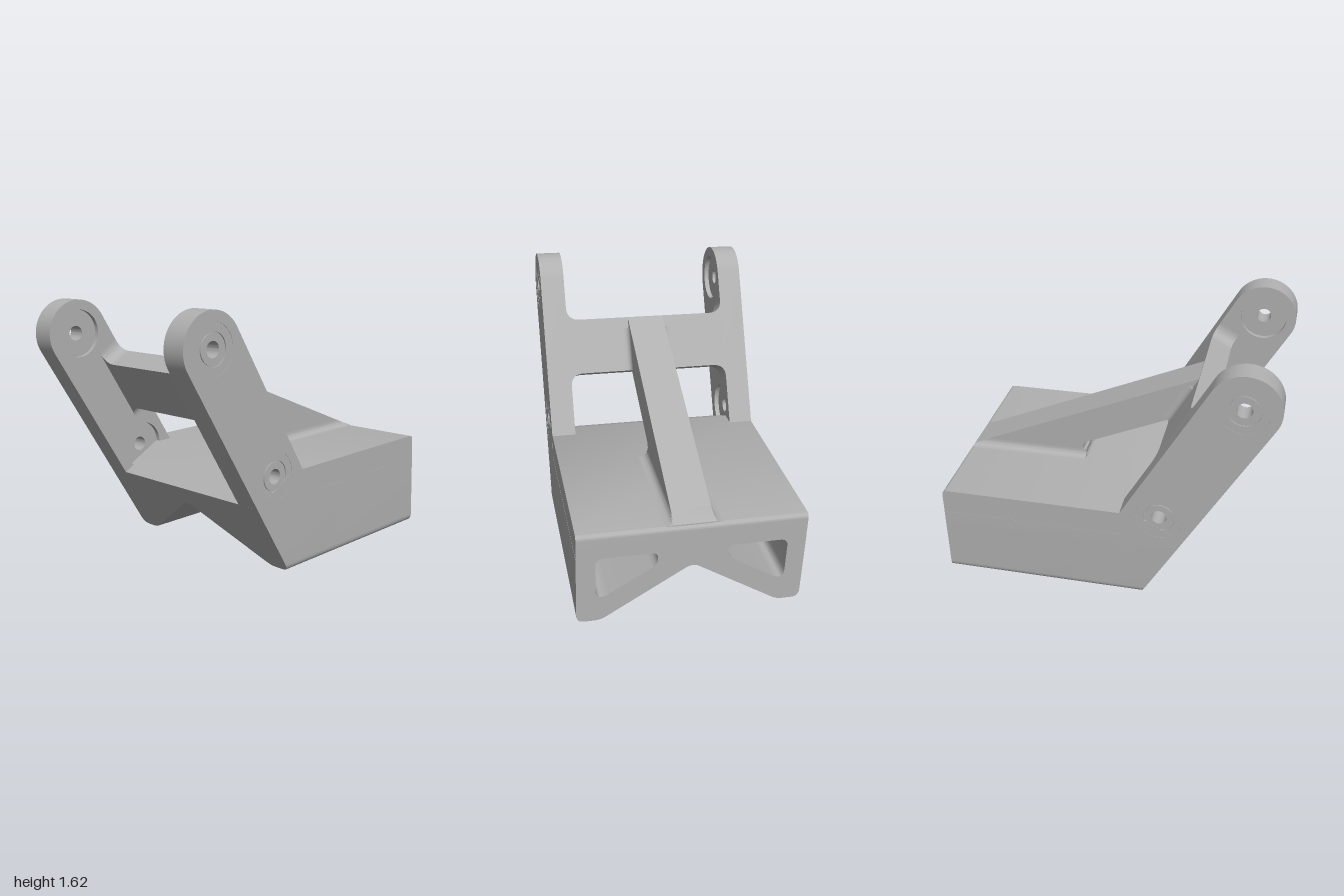
import * as THREE from 'three';
import { toCreasedNormals } from 'three/addons/utils/BufferGeometryUtils.js';

const metal = new THREE.MeshStandardMaterial({ color: 0xb0b0b0 });
metal.name = 'grey metal';

const V = (x, y, z) => new THREE.Vector3(x, y, z);
const UP = V(-0.5, 0.866, 0).normalize(); // along the arms
const OUT = V(0.866, 0.5, 0).normalize(); // across the arms
const BACK = V(0, 0, -1), Y = V(0, 1, 0), X = V(1, 0, 0);
const PIVOTS = [[-0.795, 1.375], [-0.345, 0.6]];
const HALF = 0.67, ARM = 0.15, TOP = 0.595, SPLIT = 0.44;

// Closed outline from [x, y, corner size] points
function outline(points, Type = THREE.Shape) {
  const path = new Type();
  const n = points.length;
  points.forEach(([x, y, r = 0], i) => {
    const p = new THREE.Vector2(x, y);
    const toward = (q) => new THREE.Vector2(q[0], q[1]).sub(p).setLength(r).add(p);
    const a = toward(points[(i + n - 1) % n]), b = toward(points[(i + 1) % n]);
    if (i === 0) path.moveTo(a.x, a.y); else path.lineTo(a.x, a.y);
    if (r) path.quadraticCurveTo(x, y, b.x, b.y);
  });
  path.closePath();
  return path;
}

function extrude(shape, depth, steps = 1) {
  return new THREE.ExtrudeGeometry(shape, { depth, steps, bevelEnabled: false, curveSegments: 16 });
}

// Lay an extrusion along the given axes
function place(geo, ax, ay, az, origin) {
  return geo.applyMatrix4(new THREE.Matrix4().makeBasis(ax, ay, az).setPosition(origin));
}

function reshape(geo, rule) {
  const pos = geo.attributes.position;
  for (let i = 0; i < pos.count; i++) {
    const p = V(0, 0, 0).fromBufferAttribute(pos, i);
    rule(p);
    pos.setXYZ(i, p.x, p.y, p.z);
  }
  return geo;
}

export function createModel() {
  const model = new THREE.Group();
  model.name = 'bracket';
  const body = new THREE.Group();
  body.name = 'tiltedBracket';
  model.add(body);
  const add = (name, geo) => {
    const mesh = new THREE.Mesh(toCreasedNormals(geo, 0.5), metal);
    mesh.name = name;
    body.add(mesh);
    return mesh;
  };

  // Lower block: notched section, sloped at the rear, blind pockets at the end
  const section = () => outline([
    [-HALF, SPLIT], [-HALF, 0, 0.05], [-0.53, 0, 0.035], [0, 0.335, 0.047],
    [0.53, 0, 0.035], [HALF, 0, 0.05], [HALF, SPLIT],
  ]);
  const floorX = 0.2;
  const rear = place(extrude(section(), 1), BACK, Y, X, V(0, 0, 0));
  add('blockRear', reshape(rear, (p) => {
    p.x = p.x < 0.5 ? -0.238 - 0.577 * p.y : floorX;
  }));
  const pocketed = section();
  for (const s of [1, -1]) {
    pocketed.holes.push(outline([
      [s * 0.56, 0.435, 0.05], [s * 0.205, 0.435, 0.038],
      [s * 0.205, 0.355, 0.038], [s * 0.56, 0.135, 0.09],
    ], THREE.Path));
  }
  add('blockEnd', place(extrude(pocketed, 1 - floorX), BACK, Y, X, V(floorX, 0, 0)));

  // Upper block with a sloping sill and a softened end edge
  const cap = outline([[-0.492, SPLIT], [1, SPLIT], [1, TOP, 0.03], [-0.2, TOP]]);
  add('blockTop', extrude(cap, 2 * HALF - 0.002).translate(0, 0, -HALF + 0.001));

  // Side arms with bushings
  const [cx, cy] = PIVOTS[0];
  const arm = new THREE.Shape();
  arm.moveTo(-0.108, 0.3);
  arm.lineTo(-0.108, TOP);
  arm.absarc(cx, cy, 0.205, Math.PI / 6, Math.PI * 7 / 6, false);
  arm.lineTo(-0.411, 0.3);
  arm.closePath();
  for (const [x, y] of PIVOTS) {
    const hole = new THREE.Path();
    hole.absarc(x, y, 0.145, 0, Math.PI * 2, true);
    arm.holes.push(hole);
  }
  const ring = [
    [0.045, 0], [0.145, 0], [0.145, 0.118], [0.095, 0.118], [0.095, 0.111],
    [0.085, 0.111], [0.085, 0.118], [0.045, 0.118], [0.045, 0],
  ].map(([r, h]) => new THREE.Vector2(r, h));
  for (const s of [1, -1]) {
    const side = s > 0 ? 'left' : 'right';
    add(side + 'Arm', extrude(arm, ARM).translate(0, 0, s > 0 ? HALF - ARM : -HALF));
    PIVOTS.forEach(([x, y], i) => {
      const geo = new THREE.LatheGeometry(ring, 40).rotateX(s * Math.PI / 2).translate(x, y, s * 0.55);
      add(side + (i ? 'Lower' : 'Upper') + 'Bushing', geo);
    });
  }

  // Cross web joining the arms, with filleted corners
  const inner = HALF - ARM, high = -0.275, low = -0.627, f = 0.085;
  const web = new THREE.Shape();
  web.moveTo(-inner, high + f);
  web.quadraticCurveTo(-inner, high, -inner + f, high);
  web.lineTo(inner - f, high);
  web.quadraticCurveTo(inner, high, inner, high + f);
  web.lineTo(inner, low - f);
  web.quadraticCurveTo(inner, low, inner - f, low);
  web.lineTo(-inner + f, low);
  web.quadraticCurveTo(-inner, low, -inner, low - f);
  web.closePath();
  const thick = 0.145;
  const face = V(cx, cy, 0).addScaledVector(OUT, 0.205);
  add('crossWeb', place(extrude(web, thick), BACK, UP, OUT, face.clone().addScaledVector(OUT, -thick)));

  // Central diagonal rib
  const w = 0.1175, r = 0.05;
  const ribTop = (x) => 1.235 - (x + 0.478) * 0.434;
  const rib = outline([
    [-0.5, 1.225], [-0.478, 1.235], [0.985, ribTop(0.985)], [0.985, 0.58], [0.2, 0.58],
    [0.225, 0.6, 0.01], [0.265, 0.685, 0.05], [-0.304, 0.935], [-0.34, 0.93],
  ]);
  add('rib', extrude(rib, 2 * w).translate(0, 0, -w));

  // Concave fillets where the rib meets the block and the web
  const skirt = new THREE.Shape();
  skirt.moveTo(-w - r, 0);
  skirt.lineTo(w + r, 0);
  skirt.quadraticCurveTo(w, 0, w, r);
  skirt.lineTo(-w, r);
  skirt.quadraticCurveTo(-w, 0, -w - r, 0);
  const base = place(extrude(skirt, 0.755, 24), BACK, Y, X, V(0.23, TOP, 0));
  add('ribBaseFillet', reshape(base, (p) => { p.y = Math.min(p.y, ribTop(p.x)); }));
  add('ribWebFillet', place(extrude(skirt, 0.277), V(0, 0, 1), OUT, UP, face.clone().addScaledVector(UP, low)));

  // The whole bracket leans slightly
  body.rotation.x = -0.033;
  body.position.set(0, 0.0205, 0.026);
  return model;
}
